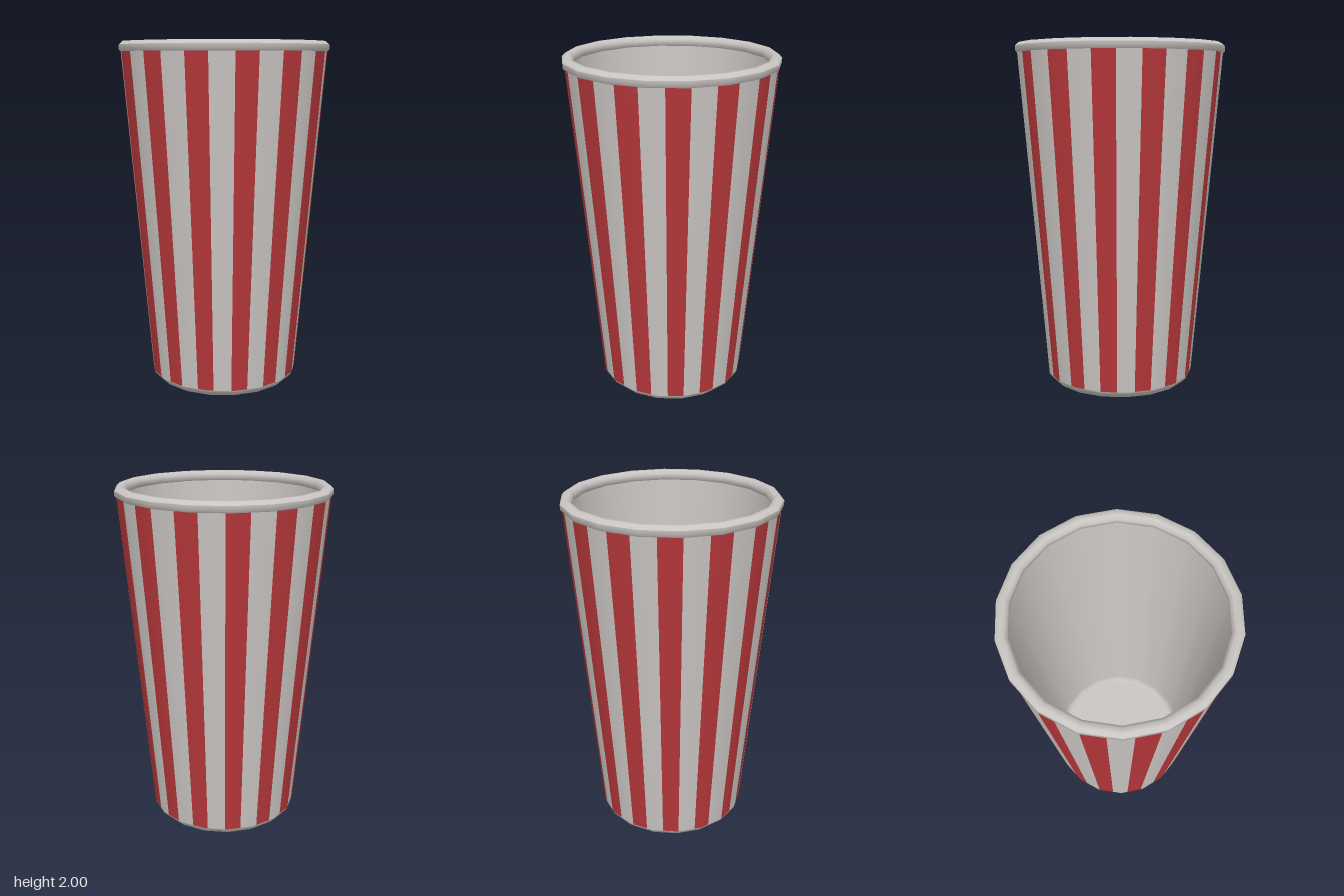
import * as THREE from 'three';

const SIDES = 18, STRIPES = 14;
const STEP = 360 / SIDES, PERIOD = 360 / STRIPES;
const STRIPE_CENTRE = 2, STRIPE_WIDTH = 12.4; // degrees, measured from +z towards +x
const LOW = { r: 0.44, y: 0.04 }, HIGH = { r: 0.6, y: 1.95 };

const rad = THREE.MathUtils.degToRad;

// Point on the unit 18-sided outline at a given angle (corners at 10, 30, 50...)
function outline(deg) {
  const k = Math.floor((deg - STEP / 2) / STEP);
  const t = (deg - STEP / 2) / STEP - k;
  const a = rad(STEP / 2 + k * STEP), b = rad(STEP / 2 + (k + 1) * STEP);
  return [
    THREE.MathUtils.lerp(Math.sin(a), Math.sin(b), t),
    THREE.MathUtils.lerp(Math.cos(a), Math.cos(b), t),
  ];
}

// Panels of the tapered wall covering [from, to], split at the outline's corners
function wallGeometry(ranges) {
  const pos = [], nor = [], index = [];
  const slope = (HIGH.r - LOW.r) / (HIGH.y - LOW.y);
  for (const [from, to] of ranges) {
    const cuts = [from];
    for (let c = STEP / 2 - 2 * STEP; c < to; c += STEP) if (c > from + 1e-4 && c < to - 1e-4) cuts.push(c);
    cuts.push(to);
    cuts.forEach((deg, i) => {
      const [x, z] = outline(deg);
      const n = new THREE.Vector3(x, -slope, z).normalize();
      const base = pos.length / 3;
      for (const e of [LOW, HIGH]) {
        pos.push(x * e.r, e.y, z * e.r);
        nor.push(n.x, n.y, n.z);
      }
      if (i < cuts.length - 1) index.push(base, base + 2, base + 1, base + 1, base + 2, base + 3);
    });
  }
  const g = new THREE.BufferGeometry();
  g.setAttribute('position', new THREE.Float32BufferAttribute(pos, 3));
  g.setAttribute('normal', new THREE.Float32BufferAttribute(nor, 3));
  g.setIndex(index);
  return g;
}

function lathe(points) {
  return new THREE.LatheGeometry(points.map(([r, y]) => new THREE.Vector2(r, y)), SIDES, rad(STEP / 2));
}

export function createModel() {
  const cup = new THREE.Group();
  cup.name = 'stripedCup';
  const white = new THREE.MeshStandardMaterial({ color: 0xc9c5c2 });
  white.name = 'paperWhite';
  const red = new THREE.MeshStandardMaterial({ color: 0xb5373a });
  red.name = 'stripeRed';

  const add = (name, geometry, material) => {
    const mesh = new THREE.Mesh(geometry, material);
    mesh.name = name;
    cup.add(mesh);
  };

  // Outer wall: alternating red stripes and white gaps
  const stripes = [], gaps = [];
  for (let i = 0; i < STRIPES; i++) {
    const start = STRIPE_CENTRE - STRIPE_WIDTH / 2 + i * PERIOD;
    stripes.push([start, start + STRIPE_WIDTH]);
    gaps.push([start + STRIPE_WIDTH, start + PERIOD]);
  }
  add('redStripes', wallGeometry(stripes), red);
  add('whiteWall', wallGeometry(gaps), white);

  // Underside with bevelled foot
  add('base', lathe([[0, 0], [0.395, 0], [0.408, 0], [0.436, 0.028], [LOW.r, LOW.y]]), white);

  // Inner wall running down to the floor
  add('inside', lathe([[0.56, 1.96], [0.42, 0.09], [0.405, 0.045], [0.385, 0.04], [0, 0.04]]), white);

  // Rolled rim
  const rim = [];
  for (let i = 0; i <= 8; i++) {
    const a = rad(22.5 + i * 45);
    rim.push([0.5785 + 0.0346 * Math.cos(a), 1.968 + 0.0346 * Math.sin(a)]);
  }
  add('rim', lathe(rim), white);

  return cup;
}
